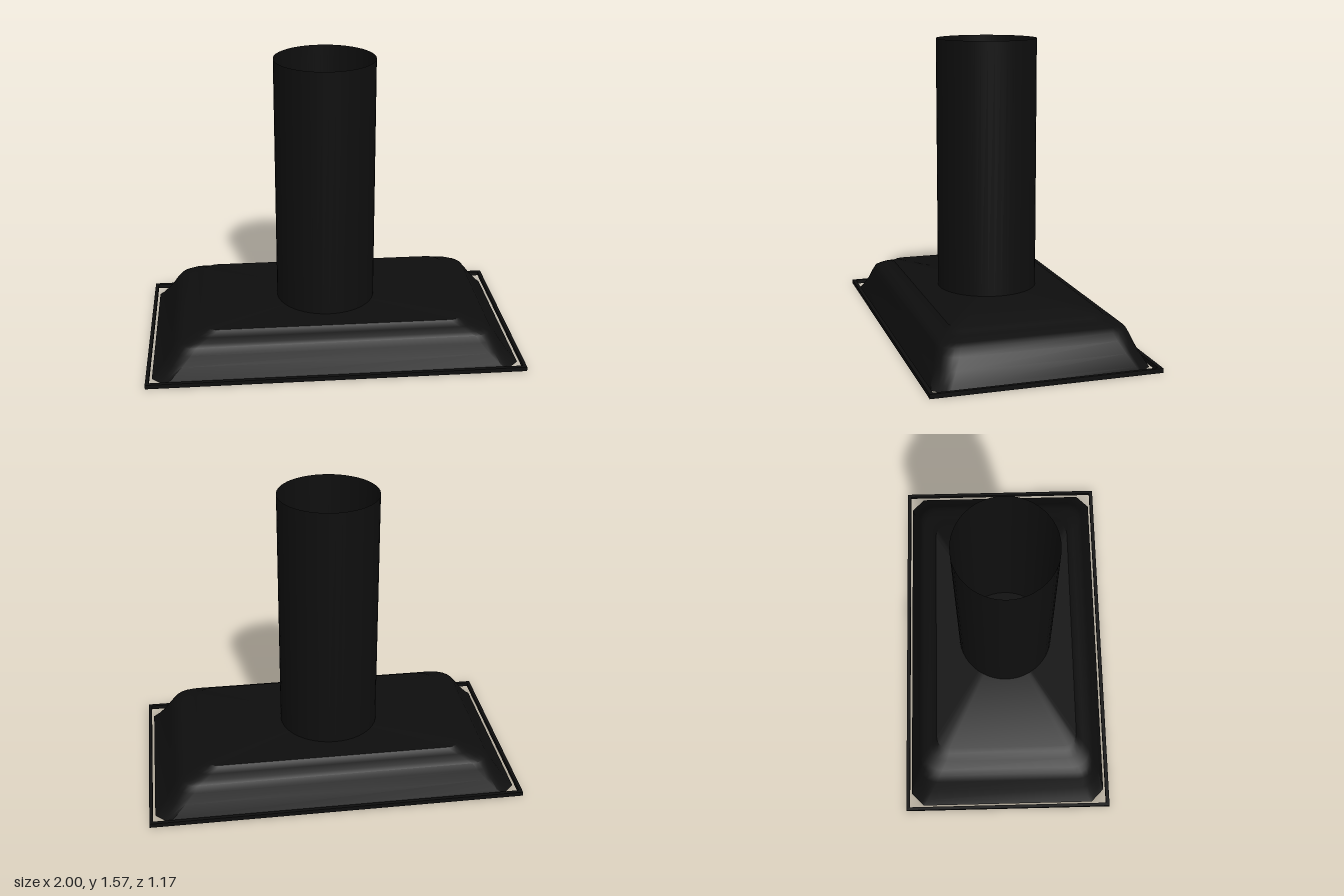
import * as THREE from 'three';
import { toCreasedNormals } from 'three/addons/utils/BufferGeometryUtils.js';

const blackMetal = new THREE.MeshStandardMaterial({ color: 0x0e0e0e, side: THREE.DoubleSide });
blackMetal.name = 'blackMetal';

const SEG = 5; // segments per corner

// One horizontal ring: rectangle with corners that go from a straight cut (bulge 0) to round (bulge 1)
function ring([y, hx, hz, r, bulge]) {
  const points = [];
  for (let c = 0; c < 4; c++) {
    const sx = c === 0 || c === 3 ? 1 : -1;
    const sz = c < 2 ? 1 : -1;
    for (let i = 0; i <= SEG; i++) {
      const t = c % 2 === 0 ? i / SEG : 1 - i / SEG;
      const a = t * Math.PI / 2;
      const u = THREE.MathUtils.lerp(1 - t, Math.cos(a), bulge);
      const v = THREE.MathUtils.lerp(t, Math.sin(a), bulge);
      points.push([sx * (hx - r + r * u), y, sz * (hz - r + r * v)]);
    }
  }
  return points;
}

// Hollow canopy, open below and closed on top
function canopyGeometry() {
  const sections = [ // y, half width, half depth, corner size, corner roundness
    [0.0, 0.97, 0.555, 0.07, 0],
    [0.025, 0.945, 0.545, 0.08, 0.2],
    [0.08, 0.9, 0.522, 0.09, 0.6],
    [0.135, 0.862, 0.502, 0.1, 1],
    [0.17, 0.835, 0.488, 0.1, 1],
    [0.185, 0.805, 0.47, 0.1, 1],
    [0.2, 0.755, 0.435, 0.09, 1],
    [0.212, 0.715, 0.41, 0.08, 1],
    [0.225, 0.69, 0.398, 0.07, 1],
  ];
  const n = 4 * (SEG + 1);
  const vertices = sections.flatMap(ring);
  const index = [];
  for (let s = 0; s < sections.length - 1; s++) {
    for (let i = 0; i < n; i++) {
      const a = s * n + i, b = s * n + (i + 1) % n;
      index.push(a, a + n, b, b, a + n, b + n);
    }
  }
  const last = (sections.length - 1) * n;
  vertices.push([0, 0.225, 0]);
  for (let i = 0; i < n; i++) index.push(last + i, vertices.length - 1, last + (i + 1) % n);
  const geometry = new THREE.BufferGeometry();
  geometry.setAttribute('position', new THREE.Float32BufferAttribute(vertices.flat(), 3));
  geometry.setIndex(index);
  return toCreasedNormals(geometry, 0.6);
}

function rectangle(target, hx, hz) {
  target.moveTo(-hx, -hz);
  target.lineTo(hx, -hz);
  target.lineTo(hx, hz);
  target.lineTo(-hx, hz);
  target.closePath();
  return target;
}

export function createModel() {
  const model = new THREE.Group();
  model.name = 'rangeHood';
  const add = (name, geometry) => {
    const mesh = new THREE.Mesh(geometry, blackMetal);
    mesh.name = name;
    model.add(mesh);
    return mesh;
  };

  // Thin rectangular rim around the foot
  const rim = rectangle(new THREE.Shape(), 1, 0.585);
  rim.holes.push(rectangle(new THREE.Path(), 0.982, 0.565));
  const rimGeometry = new THREE.ExtrudeGeometry(rim, { depth: 0.023, bevelEnabled: false });
  add('baseRim', rimGeometry.rotateX(-Math.PI / 2));

  add('canopy', canopyGeometry());

  // Open flue pipe, slightly off centre
  const pipe = add('fluePipe', new THREE.CylinderGeometry(0.268, 0.268, 1.345, 48, 1, true));
  pipe.position.set(-0.02, 0.225 + 1.345 / 2, 0.007);

  return model;
}
